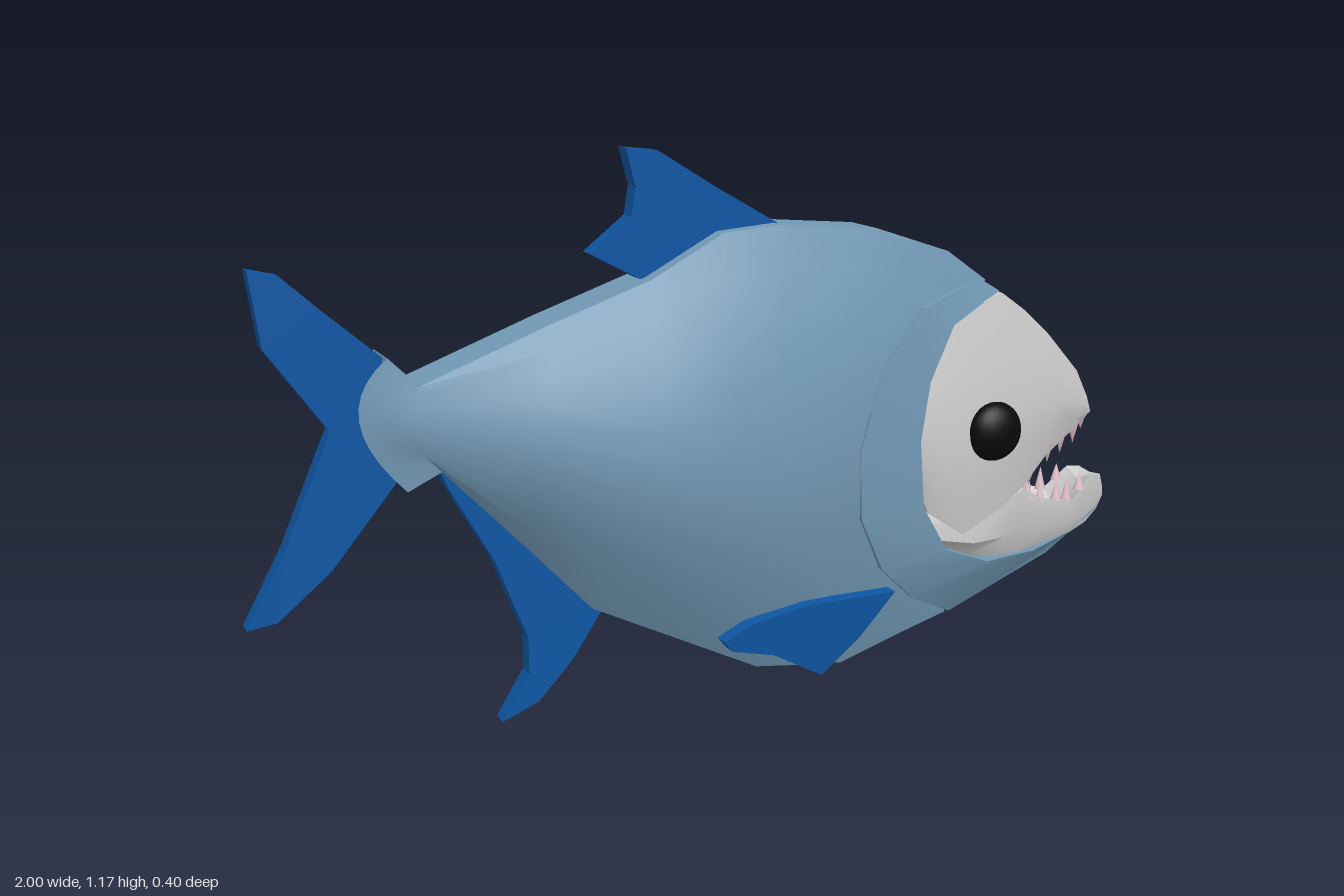
import * as THREE from 'three';
import { toCreasedNormals } from 'three/addons/utils/BufferGeometryUtils.js';

const material = (color) => new THREE.MeshStandardMaterial({ color, side: THREE.DoubleSide });
const skin = material(0x7299b5), finBlue = material(0x0e56a3);
const grey = material(0xcccccc), black = material(0x0a0a0a), ivory = material(0xe6c3cc);

// Closed skin through rings of [x, y, z] points, capped at both ends and facing outward.
function loft(rings, crease = 0.6) {
  const n = rings[0].length, last = rings.length - 1;
  const pts = rings.flat().map((p) => new THREE.Vector3(...p));
  const tris = [];
  for (let i = 0; i < last; i++) {
    for (let j = 0; j < n; j++) {
      const a = i * n + j, b = i * n + (j + 1) % n;
      tris.push([a, b, b + n], [a, b + n, a + n]);
    }
  }
  for (const i of [0, last]) {
    const centre = new THREE.Vector3();
    for (let j = 0; j < n; j++) centre.addScaledVector(pts[i * n + j], 1 / n);
    const c = pts.push(centre) - 1;
    for (let j = 0; j < n; j++) {
      const a = i * n + j, b = i * n + (j + 1) % n;
      tris.push(i ? [a, b, c] : [b, a, c]);
    }
  }
  let volume = 0;
  for (const [a, b, c] of tris) volume += pts[a].dot(pts[b].clone().cross(pts[c]));
  if (volume < 0) tris.forEach((t) => t.reverse());
  const geometry = new THREE.BufferGeometry().setFromPoints(pts);
  geometry.setIndex(tris.flat());
  return toCreasedNormals(geometry, crease);
}

// Completes one side of a ring with its mirror image in z.
const mirrorRing = (side) => [
  ...side,
  ...side.filter((p) => p[2] !== 0).reverse().map(([x, y, z]) => [x, y, -z]),
];

// Flat fin from an outline, centred on z = 0.
function finGeometry(outline, depth) {
  const shape = new THREE.Shape(outline.map((p) => new THREE.Vector2(...p)));
  return new THREE.ExtrudeGeometry(shape, { depth, bevelEnabled: false }).translate(0, 0, -depth / 2);
}

export function createModel() {
  const model = new THREE.Group();
  const add = (name, geometry, mat) => {
    const mesh = new THREE.Mesh(geometry, mat);
    mesh.name = name;
    model.add(mesh);
    return mesh;
  };

  // Body: bowed sections through a top, middle and bottom point, with a half width
  const sections = [
    [-0.71, 0.80, -0.77, 0.68, -0.68, 0.53, 0.05],
    [-0.65, 0.74, -0.67, 0.65, -0.61, 0.565, 0.062],
    [-0.38, 0.84, -0.42, 0.61, -0.43, 0.375, 0.165],
    [-0.16, 0.915, -0.2, 0.56, -0.3, 0.235, 0.2],
    [0, 1.0, -0.02, 0.54, 0.08, 0.045, 0.195],
    [0.13, 1.01, 0.08, 0.53, 0.18, 0.032, 0.186],
    [0.36, 0.99, 0.17, 0.53, 0.29, 0.02, 0.177],
    [0.54, 0.93, 0.23, 0.53, 0.43, 0.063, 0.168],
    [0.64, 0.86, 0.27, 0.53, 0.56, 0.1, 0.16],
  ];
  const steps = 10;
  add('body', loft(sections.map(([xt, yt, xm, ym, xb, yb, w]) => {
    const side = [];
    const edge = Math.min(0.055, w);
    for (let i = 0; i <= steps; i++) {
      const s = i / steps;
      const t = (1 - s) * (1 - 2 * s), m = 4 * s * (1 - s), b = s * (2 * s - 1);
      side.push([
        xt * t + xm * m + xb * b,
        yt * t + ym * m + yb * b,
        edge + (w - edge) * Math.sin(Math.PI * s),
      ]);
    }
    return mirrorRing(side);
  })), skin);

  // Gill collar and chin: outer and inner rim points around the face
  const rim = [
    [[0.62, 0.865, 0.062], [0.67, 0.835, 0.066]],
    [[0.45, 0.82, 0.115], [0.53, 0.775, 0.105]],
    [[0.33, 0.70, 0.145], [0.46, 0.66, 0.128]],
    [[0.27, 0.53, 0.163], [0.435, 0.53, 0.135]],
    [[0.28, 0.38, 0.155], [0.45, 0.38, 0.13]],
    [[0.35, 0.25, 0.127], [0.52, 0.27, 0.118]],
    [[0.45, 0.16, 0.095], [0.64, 0.222, 0.1]],
    [[0.57, 0.10, 0.055], [0.78, 0.222, 0.078]],
    [[0.84, 0.20, 0.045], [0.90, 0.245, 0.052]],
    [[0.96, 0.275, 0.04], [0.985, 0.295, 0.04]],
  ];
  add('gillCollar', loft(rim.map(mirrorRing), 0.5), skin);

  // Upper head: x, top, lower lip line, half width, crown half width, roof height of the mouth
  const head = [
    [0.44, 0.62, 0.44, 0.115, 0.1, 0.01],
    [0.48, 0.73, 0.355, 0.12, 0.085, 0.01],
    [0.57, 0.80, 0.295, 0.122, 0.08, 0.02],
    [0.67, 0.832, 0.345, 0.122, 0.078, 0.06],
    [0.73, 0.79, 0.385, 0.116, 0.076, 0.08],
    [0.80, 0.73, 0.45, 0.1, 0.072, 0.07],
    [0.89, 0.635, 0.5, 0.078, 0.064, 0.04],
    [0.925, 0.57, 0.52, 0.068, 0.06, 0.015],
    [0.937, 0.54, 0.528, 0.06, 0.055, 0.004],
  ];
  add('upperHead', loft(head.map(([x, top, lip, w, crown, roof]) => {
    const at = (f) => lip + (top - lip) * f;
    return mirrorRing([
      [x, top, crown], [x, at(0.72), crown * 0.4 + w * 0.6], [x, at(0.45), w],
      [x, at(0.2), w * 0.96], [x, lip, w * 0.85], [x, lip + roof * 0.8, w * 0.55], [x, lip + roof, 0],
    ]);
  })), grey);

  // Lower jaw: x, lip, underside, half width, depth of the mouth floor
  const jaw = [
    [0.50, 0.32, 0.27, 0.1, 0.005],
    [0.60, 0.325, 0.235, 0.105, 0.03],
    [0.68, 0.35, 0.222, 0.1, 0.06],
    [0.74, 0.378, 0.222, 0.093, 0.1],
    [0.80, 0.345, 0.228, 0.082, 0.07],
    [0.90, 0.325, 0.24, 0.062, 0.04],
    [0.955, 0.375, 0.258, 0.048, 0.02],
    [0.988, 0.373, 0.285, 0.043, 0.005],
    [1.0, 0.34, 0.305, 0.038, 0.005],
  ];
  add('lowerJaw', loft(jaw.map(([x, lip, under, w, dip]) => mirrorRing([
    [x, under, w * 0.75], [x, under * 0.6 + lip * 0.4, w], [x, lip, w * 0.95],
    [x, lip - dip * 0.4, w * 0.65], [x, lip - dip, 0],
  ]))), grey);

  // Teeth: x, base height, z, length (negative points down)
  const teeth = [
    [0.755, 0.425, 0.085, -0.04], [0.81, 0.475, 0.076, -0.045], [0.85, 0.495, 0.068, -0.05],
    [0.89, 0.513, 0.06, -0.05], [0.922, 0.53, 0.045, -0.04],
    [0.76, 0.35, 0.075, 0.045], [0.80, 0.335, 0.068, 0.04], [0.85, 0.33, 0.06, 0.05],
    [0.885, 0.325, 0.052, 0.055], [0.925, 0.345, 0.045, 0.04],
  ];
  for (const [x, y, z, length] of teeth) {
    for (const side of [1, -1]) {
      const tooth = add(length < 0 ? 'upperTooth' : 'lowerTooth',
        new THREE.ConeGeometry(0.013, Math.abs(length), 6), ivory);
      tooth.position.set(x, y + length / 2, z * side);
      if (length < 0) tooth.rotation.x = Math.PI;
    }
  }

  // Fins along the middle plane
  add('dorsalFin', finGeometry([
    [-0.2, 1.178], [-0.13, 1.17], [0, 1.09], [0.14, 1.01], [0.1, 0.95], [-0.15, 0.9],
    [-0.28, 0.97], [-0.19, 1.04], [-0.18, 1.1],
  ], 0.04), finBlue);
  add('tailFin', finGeometry([
    [-0.96, 0.98], [-0.9, 0.965], [-0.83, 0.9], [-0.7, 0.785], [-0.68, 0.56], [-0.83, 0.38],
    [-0.94, 0.29], [-1, 0.282], [-0.92, 0.43], [-0.82, 0.66], [-0.94, 0.83],
  ], 0.04), finBlue);
  add('analFin', finGeometry([
    [-0.61, 0.57], [-0.55, 0.56], [-0.25, 0.24], [-0.33, 0.12], [-0.41, 0.035], [-0.49, 0.004],
    [-0.43, 0.1], [-0.43, 0.18], [-0.5, 0.36], [-0.59, 0.52],
  ], 0.04), finBlue);

  // Paired fins and eyes
  const pectoral = [
    [-0.04, 0.15], [0.02, 0.18], [0.16, 0.205], [0.37, 0.205], [0.29, 0.11], [0.2, 0.033],
    [0.08, 0.1], [-0.02, 0.125],
  ];
  for (const side of [1, -1]) {
    const geometry = finGeometry(pectoral, 0.034);
    const p = geometry.attributes.position;
    for (let i = 0; i < p.count; i++) {
      p.setZ(i, p.getZ(i) + side * (0.125 + 0.1 * (p.getY(i) - 0.12)));
    }
    geometry.computeVertexNormals();
    add(side > 0 ? 'leftPectoralFin' : 'rightPectoralFin', geometry, finBlue);

    const eye = add(side > 0 ? 'leftEye' : 'rightEye', new THREE.SphereGeometry(0.067, 24, 16), black);
    eye.position.set(0.635, 0.53, 0.115 * side);
    eye.scale.z = 0.65;
  }
  return model;
}
